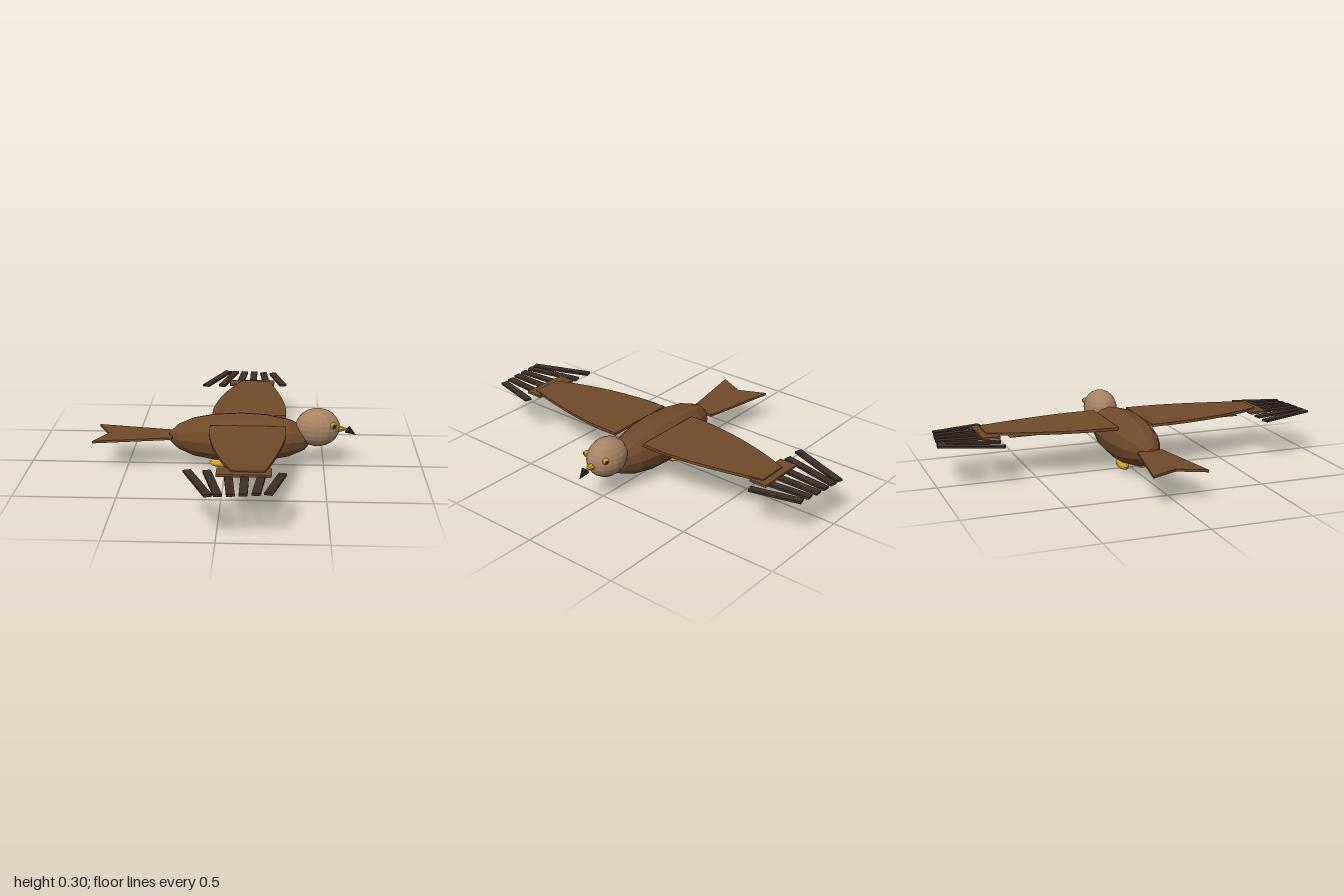
import * as THREE from 'three';

const mat = (name, color, flatShading = true) => {
  const m = new THREE.MeshStandardMaterial({ color, flatShading });
  m.name = name;
  return m;
};

export function createModel() {
  const bird = new THREE.Group();
  bird.name = 'bird';

  const brown = mat('plumage brown', 0x6f4a29);
  const tan = mat('head tan', 0xa58262);
  const dark = mat('feather dark brown', 0x3d2e26);
  const patchTan = mat('wing patch', 0x927866);
  const yellow = mat('yellow', 0xd4a42a);
  const black = mat('beak tip and pupil', 0x2b1f18);

  const add = (name, geometry, material, x = 0, y = 0, z = 0) => {
    const mesh = new THREE.Mesh(geometry, material);
    mesh.name = name;
    mesh.position.set(x, y, z);
    bird.add(mesh);
    return mesh;
  };
  const ellipsoid = (rx, ry, rz, w, h) => new THREE.SphereGeometry(1, w, h).scale(rx, ry, rz);
  // flat plate drawn in x and z, with its top at y = 0
  const plate = (shape, thickness) =>
    new THREE.ExtrudeGeometry(shape, { depth: thickness, bevelEnabled: false, curveSegments: 14 })
      .rotateX(Math.PI / 2);
  // cone running from its base centre to its tip
  const cone = (name, radius, base, tip, material) => {
    const a = new THREE.Vector3(...base);
    const dir = new THREE.Vector3(...tip).sub(a);
    const length = dir.length();
    const mesh = add(name, new THREE.ConeGeometry(radius, length, 8).translate(0, length / 2, 0), material, ...base);
    mesh.quaternion.setFromUnitVectors(new THREE.Vector3(0, 1, 0), dir.normalize());
  };

  // body: faceted spindle along x
  const profile = [
    [0, -0.288], [0.022, -0.287], [0.066, -0.24], [0.1, -0.16], [0.12, -0.05], [0.127, 0.08],
    [0.121, 0.2], [0.097, 0.32], [0.062, 0.4], [0, 0.45],
  ].map(([r, x]) => new THREE.Vector2(r, x));
  add('body', new THREE.LatheGeometry(profile, 12).rotateZ(-Math.PI / 2), brown, 0, 0.148, 0);

  // head and beak
  add('head', ellipsoid(0.113, 0.098, 0.088, 18, 12), tan, 0.465, 0.207, 0);
  cone('beak', 0.02, [0.565, 0.2, 0], [0.63, 0.197, 0], yellow);
  cone('beakTip', 0.021, [0.616, 0.197, 0], [0.66, 0.168, 0], black);

  // forked tail
  const tail = new THREE.Shape([
    [-0.27, -0.065], [-0.27, 0.065], [-0.665, 0.138], [-0.6, 0], [-0.665, -0.138],
  ].map(p => new THREE.Vector2(...p)));
  add('tail', plate(tail, 0.012), brown, 0, 0.16, 0);

  // wing feathers: inner end and outer end, each as x and z
  const feathers = [
    [-0.145, 0.69, -0.03, 0.993], [-0.055, 0.69, 0.012, 0.99], [0.04, 0.69, 0.066, 0.985],
    [0.12, 0.69, 0.12, 0.98], [0.2, 0.69, 0.175, 0.97], [0.29, 0.715, 0.228, 0.962],
  ];

  for (const s of [1, -1]) {
    const side = s > 0 ? 'left' : 'right';
    // this bird looks along +x, so each side lies along z
    const wing = new THREE.Shape();
    wing.moveTo(-0.075, 0.09 * s);
    wing.lineTo(-0.075, 0.18 * s);
    wing.quadraticCurveTo(-0.055, 0.47 * s, 0.06, 0.735 * s);
    wing.lineTo(0.21, 0.735 * s);
    wing.quadraticCurveTo(0.303, 0.37 * s, 0.305, 0.19 * s);
    wing.lineTo(0.305, 0.09 * s);
    add(side + 'Wing', plate(wing, 0.014), brown, 0, 0.237, 0);
    add(side + 'WingTip', new THREE.BoxGeometry(0.25, 0.012, 0.09), brown, 0.115, 0.225, 0.725 * s);
    add(side + 'WingPatch', new THREE.BoxGeometry(0.14, 0.004, 0.21), patchTan, 0.11, 0.207, 0.515 * s);

    feathers.forEach(([x0, z0, x1, z1], i) => {
      const length = Math.hypot(x1 - x0, z1 - z0);
      const feather = add(`${side}Feather${i + 1}`, new THREE.BoxGeometry(0.038, 0.011, length), dark,
        (x0 + x1) / 2, 0.217, s * (z0 + z1) / 2);
      feather.rotation.y = s * Math.atan2(x1 - x0, z1 - z0);
    });

    // eyes
    add(side + 'Eye', ellipsoid(0.017, 0.017, 0.015, 10, 8), yellow, 0.541, 0.234, 0.061 * s);
    add(side + 'Pupil', ellipsoid(0.009, 0.009, 0.007, 8, 6), black, 0.545, 0.234, 0.072 * s);

    // tucked feet
    add(side + 'Foot', ellipsoid(0.067, 0.024, 0.027, 14, 10), yellow, -0.015, 0.025, 0.048 * s);
  }
  return bird;
}
